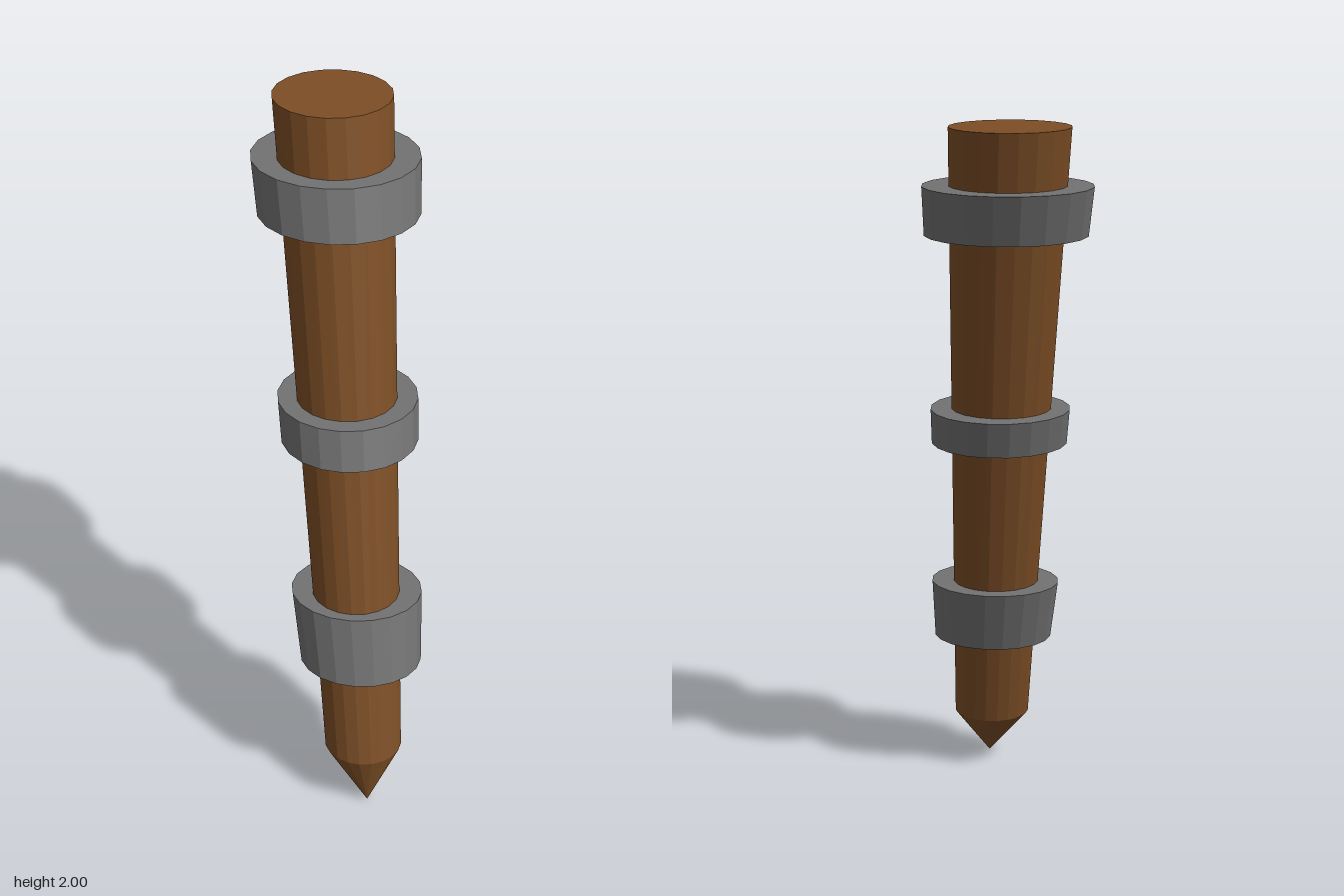
import * as THREE from 'three';

const SIDES = 20;

// Leaning drum: horizontal elliptical sections {x, y, z, rx, rz}, listed bottom to top
function leaningDrum(bottom, top) {
  const geometry = new THREE.CylinderGeometry(1, 1, 1, SIDES);
  const p = geometry.attributes.position;
  for (let i = 0; i < p.count; i++) {
    const s = p.getY(i) > 0 ? top : bottom;
    p.setXYZ(i, s.x + p.getX(i) * s.rx, s.y, s.z + p.getZ(i) * s.rz);
  }
  geometry.computeVertexNormals();
  return geometry;
}

const section = (x, y, z, rx, rz = rx) => ({ x, y, z, rx, rz });

export function createModel() {
  const wood = new THREE.MeshStandardMaterial({ color: 0x7c4e26, flatShading: true });
  wood.name = 'wood';
  const iron = new THREE.MeshStandardMaterial({ color: 0x727272, flatShading: true });
  iron.name = 'iron';

  const group = new THREE.Group();
  group.name = 'leaningStake';
  const add = (name, material, bottom, top) => {
    const mesh = new THREE.Mesh(leaningDrum(bottom, top), material);
    mesh.name = name;
    group.add(mesh);
  };

  // Tapered shaft and its off-centre point
  const shaftFoot = section(0.1, 0.165, 0.275, 0.112, 0.108);
  add('shaft', wood, shaftFoot, section(-0.04, 2, -0.2, 0.165));
  add('point', wood, section(0.12, 0, 0.343, 0.0005), shaftFoot);

  // Iron bands
  add('lowerBand', iron, section(0.085, 0.435, 0.212, 0.175, 0.149), section(0.066, 0.627, 0.148, 0.188, 0.159));
  add('middleBand', iron, section(0.034, 1.08, 0.045, 0.194), section(0.024, 1.188, 0.005, 0.198, 0.196));
  add('upperBand', iron, section(-0.014, 1.7, -0.113, 0.225, 0.21), section(-0.028, 1.84, -0.165, 0.233, 0.219));

  return group;
}
